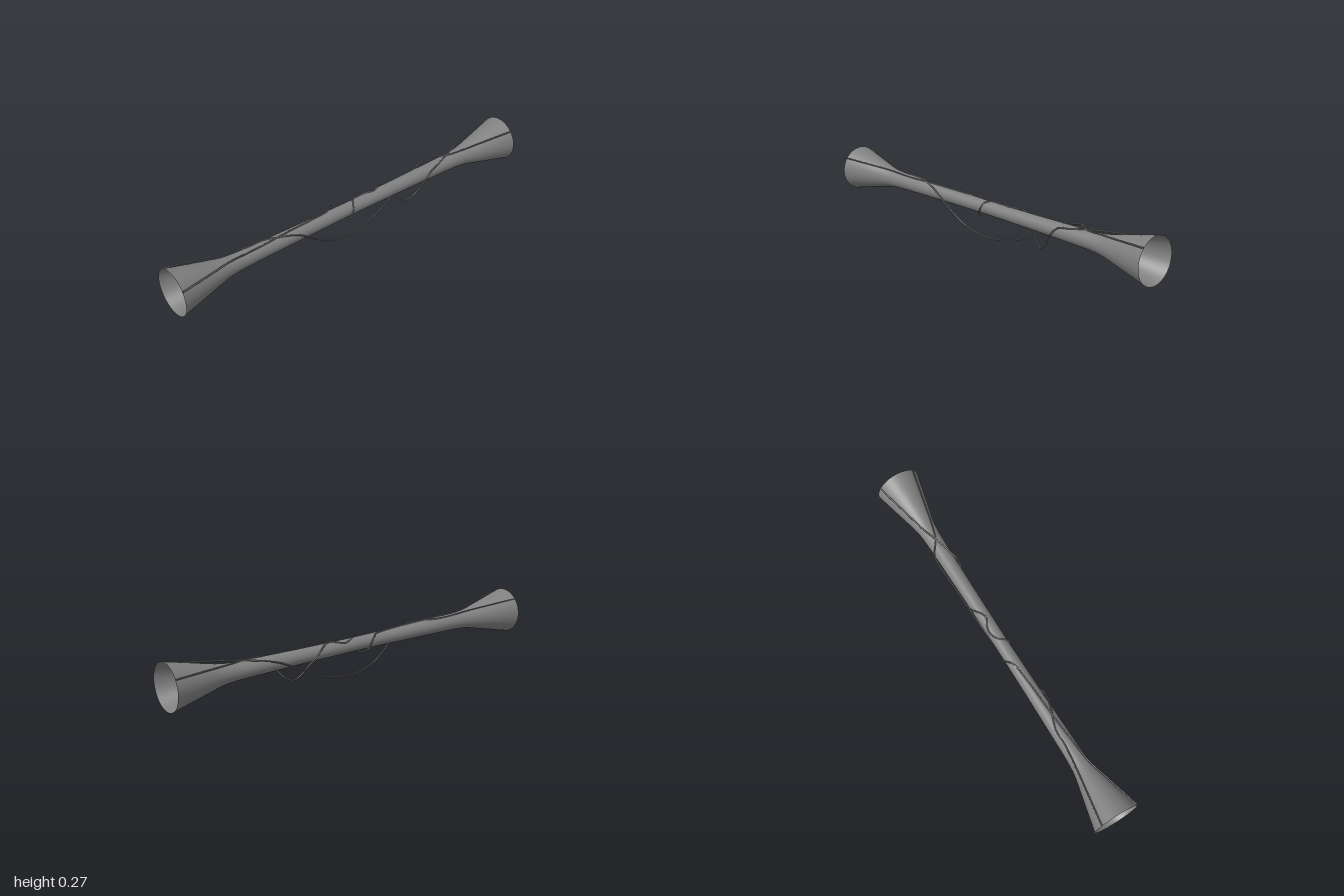
import * as THREE from 'three';

const AXIS_Y = 0.158;
const CABLE_R = 0.0036;

// Half profile of the tube: [distance from the middle, radius]
const PROFILE = [
  [0, 0.0335], [0.3, 0.036], [0.6, 0.041], [0.66, 0.043], [0.71, 0.047],
  [0.75, 0.054], [0.8, 0.066], [0.9, 0.09], [1, 0.114],
];

function radiusAt(z) {
  const d = Math.abs(z);
  const i = PROFILE.findIndex(([distance], k) => k > 0 && d <= distance);
  const [d0, r0] = PROFILE[i - 1], [d1, r1] = PROFILE[i];
  return r0 + (r1 - r0) * (d - d0) / (d1 - d0);
}

// Cable point resting on top of the tube
function on(x, z) {
  const r = radiusAt(z) + CABLE_R;
  return new THREE.Vector3(x, AXIS_Y + Math.sqrt(r * r - x * x), z);
}

const at = (x, y, z) => new THREE.Vector3(x, y, z);

// Straight cable run across a flare
const straight = (a, b) => [0, 0.33, 0.67, 1].map((t) => a.clone().lerp(b, t));

export function createModel() {
  const group = new THREE.Group();
  const material = new THREE.MeshStandardMaterial({ color: 0x808080, side: THREE.DoubleSide });

  function add(name, geometry) {
    const mesh = new THREE.Mesh(geometry, material);
    mesh.name = name;
    group.add(mesh);
    return mesh;
  }

  // Open tube, flared at both ends
  const half = PROFILE.map(([d, r]) => new THREE.Vector2(r, d));
  const mirrored = half.slice(1).reverse().map((p) => new THREE.Vector2(p.x, -p.y));
  const tube = add('flaredTube', new THREE.LatheGeometry([...mirrored, ...half], 64));
  tube.rotation.x = Math.PI / 2;
  tube.position.y = AXIS_Y;

  // Cable with one long sag under the middle
  const saggingCable = [
    ...straight(at(-0.085, 0.239, 1), at(-0.036, 0.213, 0.72)), on(-0.018, 0.6), on(-0.015, 0.51),
    on(0.015, 0.43), at(0.038, 0.187, 0.36), at(0.041, 0.165, 0.32),
    at(0.034, 0.11, 0.25), at(0.016, 0.036, 0.14), at(0, 0.0045, 0),
    at(-0.016, 0.036, -0.18), at(-0.028, 0.085, -0.28), at(-0.037, 0.13, -0.37),
    at(-0.047, 0.165, -0.44), at(-0.053, 0.188, -0.5), at(-0.046, 0.2, -0.55),
    on(0, -0.62), ...straight(at(0.026, 0.212, -0.7), at(0.09, 0.24, -1)),
  ];

  // Cable wound around the tube, with two short dips
  const woundCable = [
    ...straight(at(0.103, 0.231, 1), at(0.034, 0.209, 0.72)), on(0.018, 0.55), on(0.008, 0.4),
    on(0, 0.24), on(-0.014, 0.13), at(-0.036, 0.193, 0.105), at(-0.044, 0.172, 0.085),
    at(-0.034, 0.135, 0.072), at(0, 0.111, 0.052), at(0.03, 0.128, 0.032),
    at(0.037, 0.165, 0.017), on(0.02, 0.004), on(-0.012, -0.02), on(-0.026, -0.065),
    on(-0.018, -0.1), on(0, -0.135), on(-0.012, -0.17), at(-0.035, 0.185, -0.205),
    at(-0.039, 0.155, -0.235), at(-0.026, 0.118, -0.27), at(-0.008, 0.065, -0.315),
    at(0.004, 0.047, -0.345), at(0.018, 0.066, -0.385), at(0.036, 0.12, -0.427),
    at(0.043, 0.156, -0.453), at(0.04, 0.186, -0.487), on(0.026, -0.54), on(0, -0.62),
    ...straight(at(-0.028, 0.209, -0.7), at(-0.1, 0.222, -1)),
  ];

  for (const [name, points] of Object.entries({ saggingCable, woundCable })) {
    const curve = new THREE.CatmullRomCurve3(points, false, 'centripetal');
    add(name, new THREE.TubeGeometry(curve, 260, CABLE_R, 8, false));
  }

  return group;
}
